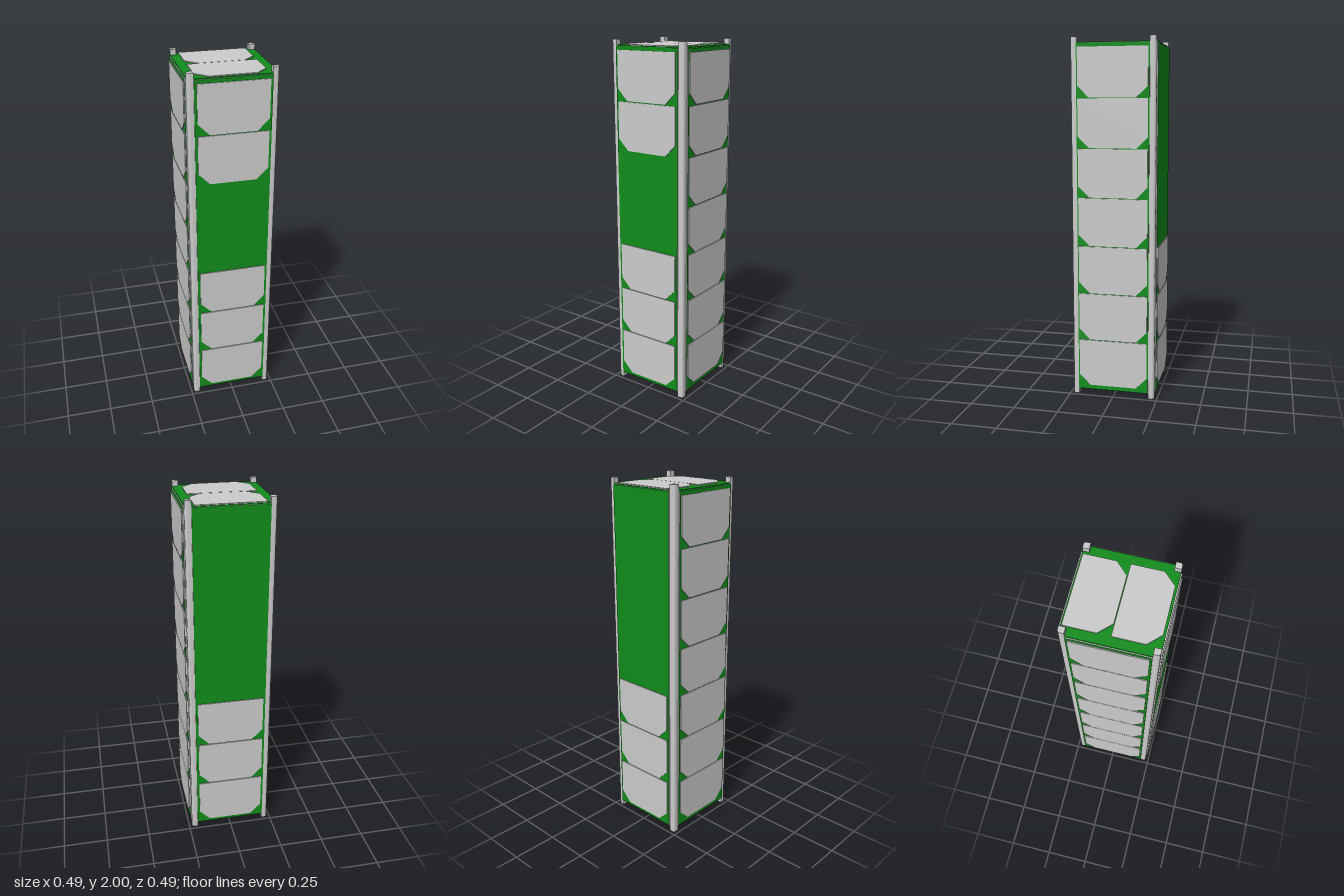
import * as THREE from 'three';

const grey = new THREE.MeshStandardMaterial({ color: 0xcccccc });
const green = new THREE.MeshStandardMaterial({ color: 0x118c1b });

const CORE = 0.233;   // half width of the body
const NOTCH = 0.2;    // half width between the corner rails
const BOTTOM = 0.037, TOP = 1.965;
const SKIN = 0.006;   // thickness of panels and cells

function polygon(points) {
  return new THREE.Shape(points.map(([x, y]) => new THREE.Vector2(x, y)));
}

function slab(name, shape, depth, z, material) {
  const geometry = new THREE.ExtrudeGeometry(shape, { depth, bevelEnabled: false, curveSegments: 6 });
  const mesh = new THREE.Mesh(geometry, material);
  mesh.name = name;
  mesh.position.z = z;
  return mesh;
}

// Solar cell: rectangle with its two lower corners cut off
function cellShape(halfWidth, y0, y1) {
  const c = 0.062, w = halfWidth;
  return polygon([[-w + c, y0], [w - c, y0], [w, y0 + c], [w, y1], [-w, y1], [-w, y0 + c]]);
}

// Square with the corners notched out for the rails
function crossShape() {
  const a = CORE, b = NOTCH;
  return polygon([[-b, -a], [b, -a], [b, -b], [a, -b], [a, b], [b, b],
    [b, a], [-b, a], [-b, b], [-a, b], [-a, -b], [-b, -b]]);
}

// Board with cells on it; local +z points outwards
function face(name, board, cells, halfWidth, boardMaterial) {
  const group = new THREE.Group();
  group.name = name;
  group.add(slab('circuitBoard', board, SKIN, 0, boardMaterial));
  for (const [y0, y1] of cells) {
    group.add(slab('solarCell', cellShape(halfWidth, y0, y1), 0.005, SKIN, grey));
  }
  return group;
}

export function createModel() {
  const model = new THREE.Group();
  model.name = 'cubeSatellite';

  // Inner body
  const body = slab('body', crossShape(), TOP - BOTTOM, 0, grey);
  body.rotation.x = -Math.PI / 2;
  body.position.y = BOTTOM;
  model.add(body);

  // Corner rails with a rounded outer edge
  const o = CORE, i = NOTCH, r = 0.014;
  const railShape = new THREE.Shape();
  railShape.moveTo(i, i);
  railShape.lineTo(o, i);
  railShape.lineTo(o, o - r);
  railShape.absarc(o - r, o - r, r, 0, Math.PI / 2, false);
  railShape.lineTo(i, o);
  railShape.closePath();
  for (let k = 0; k < 4; k++) {
    const rail = new THREE.Group();
    rail.name = 'cornerRail';
    const bar = slab('railBar', railShape, 2, 0, grey);
    bar.rotation.x = -Math.PI / 2;
    rail.add(bar);
    rail.rotation.y = k * Math.PI / 2;
    model.add(rail);
  }

  // Four sides: rows of cells, numbered from the bottom
  const sides = [
    { name: 'frontPanel', rows: [0, 1, 2, 5, 6], start: 0.055, pitch: 0.271, width: 0.187 },
    { name: 'leftPanel', rows: [0, 1, 2, 3, 4, 5, 6], start: 0.06, pitch: 0.27, width: 0.193 },
    { name: 'backPanel', rows: [0, 1, 2], start: 0.055, pitch: 0.271, width: 0.187 },
    { name: 'rightPanel', rows: [0, 1, 2, 3, 4, 5, 6], start: 0.06, pitch: 0.27, width: 0.19 },
  ];
  const sideBoard = polygon([[-NOTCH, BOTTOM], [NOTCH, BOTTOM], [NOTCH, TOP], [-NOTCH, TOP]]);
  sides.forEach(({ name, rows, start, pitch, width }, k) => {
    const cells = rows.map((n) => [start + n * pitch, start + n * pitch + 0.266]);
    const panel = face(name, sideBoard, cells, width, [green, grey]);
    const angle = k * Math.PI / 2;
    panel.rotation.y = angle;
    panel.position.set(CORE * Math.sin(angle), 0, CORE * Math.cos(angle));
    model.add(panel);
  });

  // End plates with two cells each
  const endCells = [[-0.222, 0], [0.003, 0.227]];
  const top = face('topPlate', crossShape(), endCells, 0.185, green);
  top.rotation.x = -Math.PI / 2;
  top.position.y = TOP;
  const bottom = face('bottomPlate', crossShape(), endCells, 0.185, green);
  bottom.rotation.set(Math.PI / 2, 0, Math.PI);
  bottom.position.y = BOTTOM;
  model.add(top, bottom);

  return model;
}
